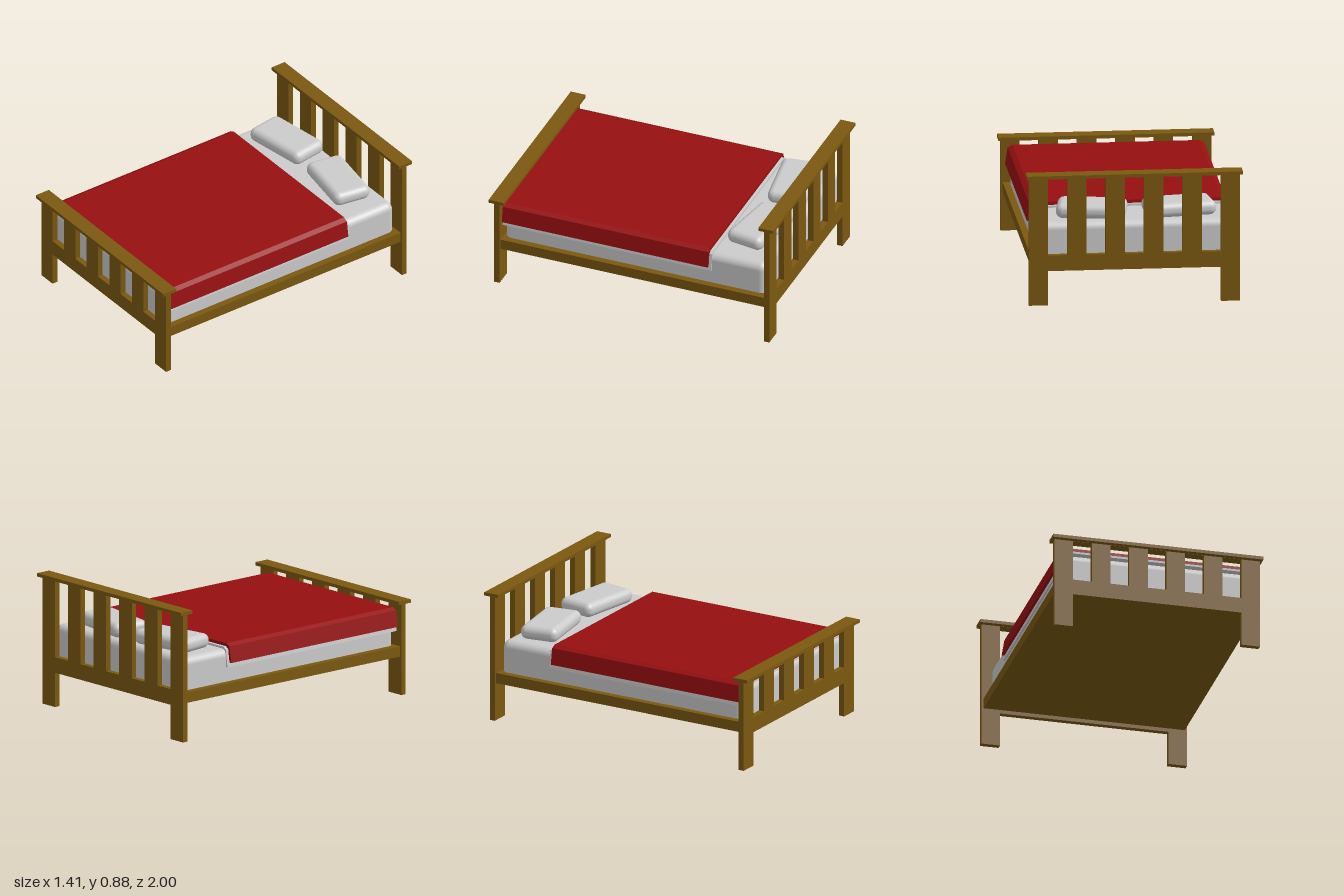
import * as THREE from 'three';
import { RoundedBoxGeometry } from 'three/addons/geometries/RoundedBoxGeometry.js';

const wood = new THREE.MeshStandardMaterial({ color: 0x7a580f });
const red = new THREE.MeshStandardMaterial({ color: 0x960f10 });
const linen = new THREE.MeshStandardMaterial({ color: 0xcccccc });

function add(parent, name, geometry, material, x = 0, y = 0, z = 0) {
  const mesh = new THREE.Mesh(geometry, material);
  mesh.name = name;
  mesh.position.set(x, y, z);
  parent.add(mesh);
  return mesh;
}

const toPoints = (list) => list.map(([x, y]) => new THREE.Vector2(x, y));

// Slatted end panel: two legs, a lower rail and four slats cut from one board, with a cap
function endBoard(name, top, z) {
  const board = new THREE.Group();
  board.name = name;
  const shape = new THREE.Shape(toPoints([
    [-0.69, 0], [-0.565, 0], [-0.565, 0.23], [0.565, 0.23],
    [0.565, 0], [0.69, 0], [0.69, top], [-0.69, top],
  ]));
  for (let i = 0; i < 5; i++) {
    const x = -0.565 + i * 0.251;
    shape.holes.push(new THREE.Path(toPoints([
      [x, 0.335], [x, top - 0.001], [x + 0.126, top - 0.001], [x + 0.126, 0.335],
    ])));
  }
  const panel = new THREE.ExtrudeGeometry(shape, { depth: 0.038, bevelEnabled: false });
  add(board, name + 'Panel', panel, wood, 0, 0, -0.019);
  add(board, name + 'Cap', new THREE.BoxGeometry(1.41, 0.022, 0.104), wood, 0, top + 0.011, 0);
  board.position.z = z;
  return board;
}

// Bed cover folded down both sides: half profile mirrored, then extruded along the bed
function drape(outer, inner, zBack, zFront) {
  const flip = (list) => list.map(([x, y]) => [-x, y]);
  const section = [
    ...outer, ...flip(outer).reverse(),
    ...flip(inner), ...[...inner].reverse(),
  ];
  const geometry = new THREE.ExtrudeGeometry(new THREE.Shape(toPoints(section)),
    { depth: zFront - zBack, bevelEnabled: false });
  return geometry.translate(0, 0, zBack);
}

export function createModel() {
  const bed = new THREE.Group();
  bed.name = 'bed';

  // Wooden frame
  bed.add(endBoard('headboard', 0.855, -0.947));
  bed.add(endBoard('footboard', 0.611, 0.948));
  add(bed, 'bedBase', new THREE.BoxGeometry(1.35, 0.07, 1.87), wood, 0, 0.29, 0);

  // Mattress, its lower edge sunk into the base
  add(bed, 'mattress', new RoundedBoxGeometry(1.26, 0.27, 1.835, 4, 0.05), linen, 0, 0.405, 0.002);

  // Sheet and blanket
  add(bed, 'sheet', drape(
    [[0.645, 0.422], [0.628, 0.54], [0.605, 0.555]],
    [[0.633, 0.422], [0.618, 0.53], [0.598, 0.541]], -0.54, 0.928), linen);
  add(bed, 'blanket', drape(
    [[0.66, 0.452], [0.642, 0.56], [0.61, 0.576]],
    [[0.642, 0.452], [0.629, 0.541], [0.605, 0.5555]], -0.52, 0.926), red);

  // Pillows, turned slightly towards each other
  for (const [name, x, turn] of [['rightPillow', -0.312, 0.15], ['leftPillow', 0.257, -0.165]]) {
    const pillow = add(bed, name, new RoundedBoxGeometry(0.455, 0.097, 0.26, 5, 0.044),
      linen, x, 0.587, -0.73);
    pillow.rotation.y = turn;
  }
  return bed;
}
